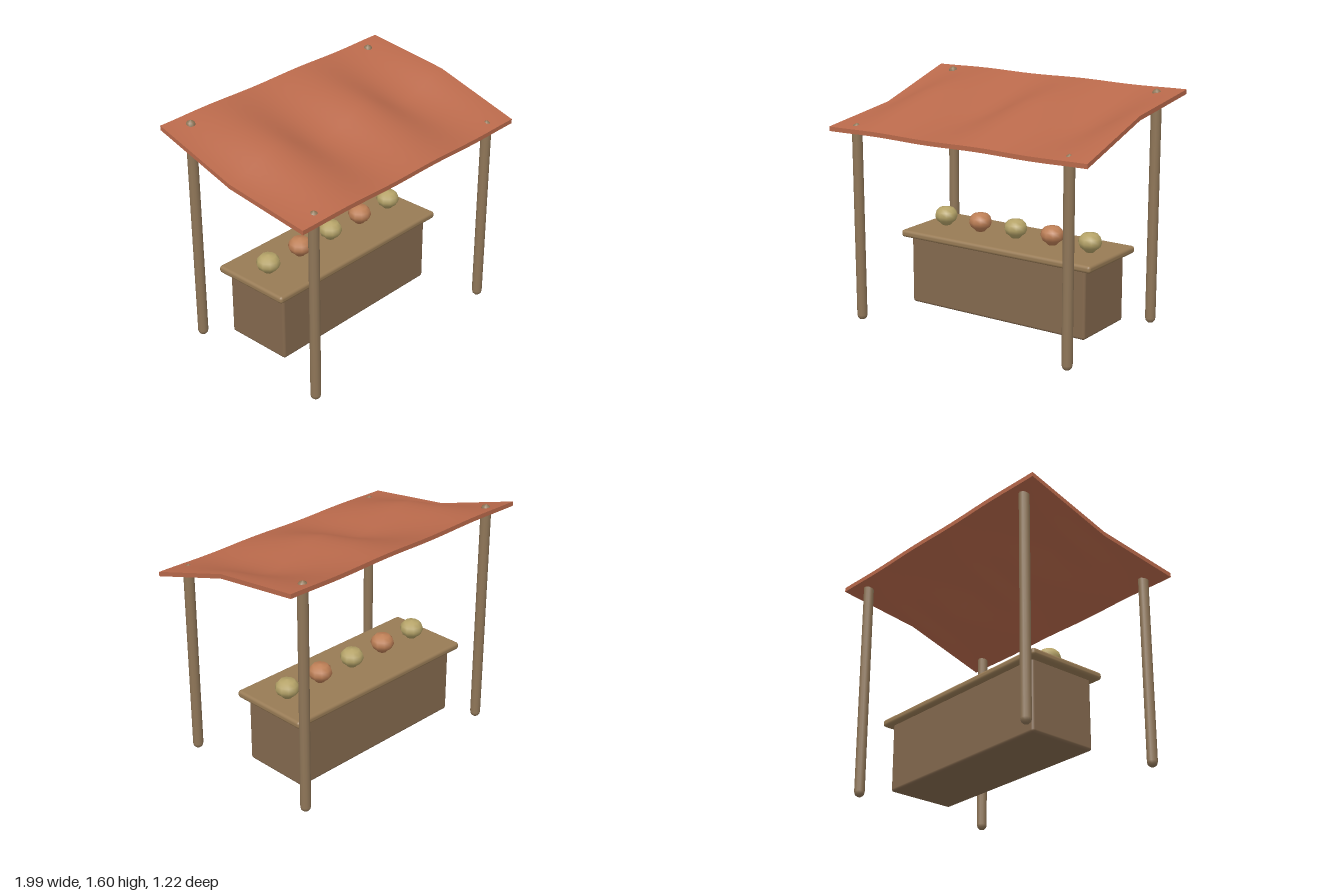
import * as THREE from 'three';
import { RoundedBoxGeometry } from 'three/addons/geometries/RoundedBoxGeometry.js';

const material = (color) => new THREE.MeshStandardMaterial({ color });

function addMesh(parent, name, geometry, mat, x = 0, y = 0, z = 0) {
  const mesh = new THREE.Mesh(geometry, mat);
  mesh.name = name;
  mesh.position.set(x, y, z);
  parent.add(mesh);
  return mesh;
}

const lathe = (points, sides) =>
  new THREE.LatheGeometry(points.map(([r, y]) => new THREE.Vector2(r, y)), sides);

// Sloping cloth: its ripples are strongest along the middle and fade to the front and back edges
function canopyGeometry() {
  const half = 0.61;
  const geometry = new THREE.BoxGeometry(1.99, 0.03, half * 2, 48, 1, 4);
  const p = geometry.attributes.position;
  for (let i = 0; i < p.count; i++) {
    const x = p.getX(i), z = p.getZ(i);
    const slope = 1.45 - (z / half) * 0.132;
    const fade = 1 - Math.abs(z) / half;
    const ripple = (0.003 + 0.055 * fade) * Math.sin(2.5 * Math.PI * x);
    p.setY(i, p.getY(i) + slope + ripple);
  }
  geometry.computeVertexNormals();
  return geometry;
}

// Round pole with softened ends
const postGeometry = (top) => lathe([
  [0, 0], [0.018, 0.004], [0.03, 0.016], [0.035, 0.035],
  [0.035, top - 0.04], [0.025, top - 0.015], [0, top],
], 12);

export function createModel() {
  const group = new THREE.Group();
  const postWood = material(0x8f7658);
  const bodyWood = material(0x84694e);
  const topWood = material(0x987b55);
  const cloth = material(0xb9694b);
  const yellow = material(0xb5a368);
  const orange = material(0xbd7f56);

  addMesh(group, 'canopy', canopyGeometry(), cloth);

  // Corner posts, taller at the back, tips poking through the cloth
  for (const [row, z, top] of [['front', 0.53, 1.362], ['back', -0.525, 1.602]]) {
    for (const [side, x] of [['Left', 0.823], ['Right', -0.823]]) {
      addMesh(group, `${row}${side}Post`, postGeometry(top), postWood, x, 0, z);
    }
  }

  // Counter
  const counterZ = -0.115;
  addMesh(group, 'counterBody', new RoundedBoxGeometry(1.4, 0.49, 0.49, 2, 0.018), bodyWood, 0, 0.285, counterZ);
  addMesh(group, 'counterTop', new RoundedBoxGeometry(1.52, 0.05, 0.58, 2, 0.02), topWood, 0, 0.535, counterZ);

  // Row of produce, alternating in colour
  const fruit = lathe([
    [0, -0.01], [0.03, 0], [0.043, 0.015], [0.068, 0.035], [0.081, 0.065],
    [0.073, 0.095], [0.05, 0.12], [0, 0.13],
  ], 10);
  for (let i = 0; i < 5; i++) {
    addMesh(group, `produce${i + 1}`, fruit, i % 2 ? orange : yellow, (i - 2) * 0.293, 0.56, counterZ);
  }

  return group;
}
